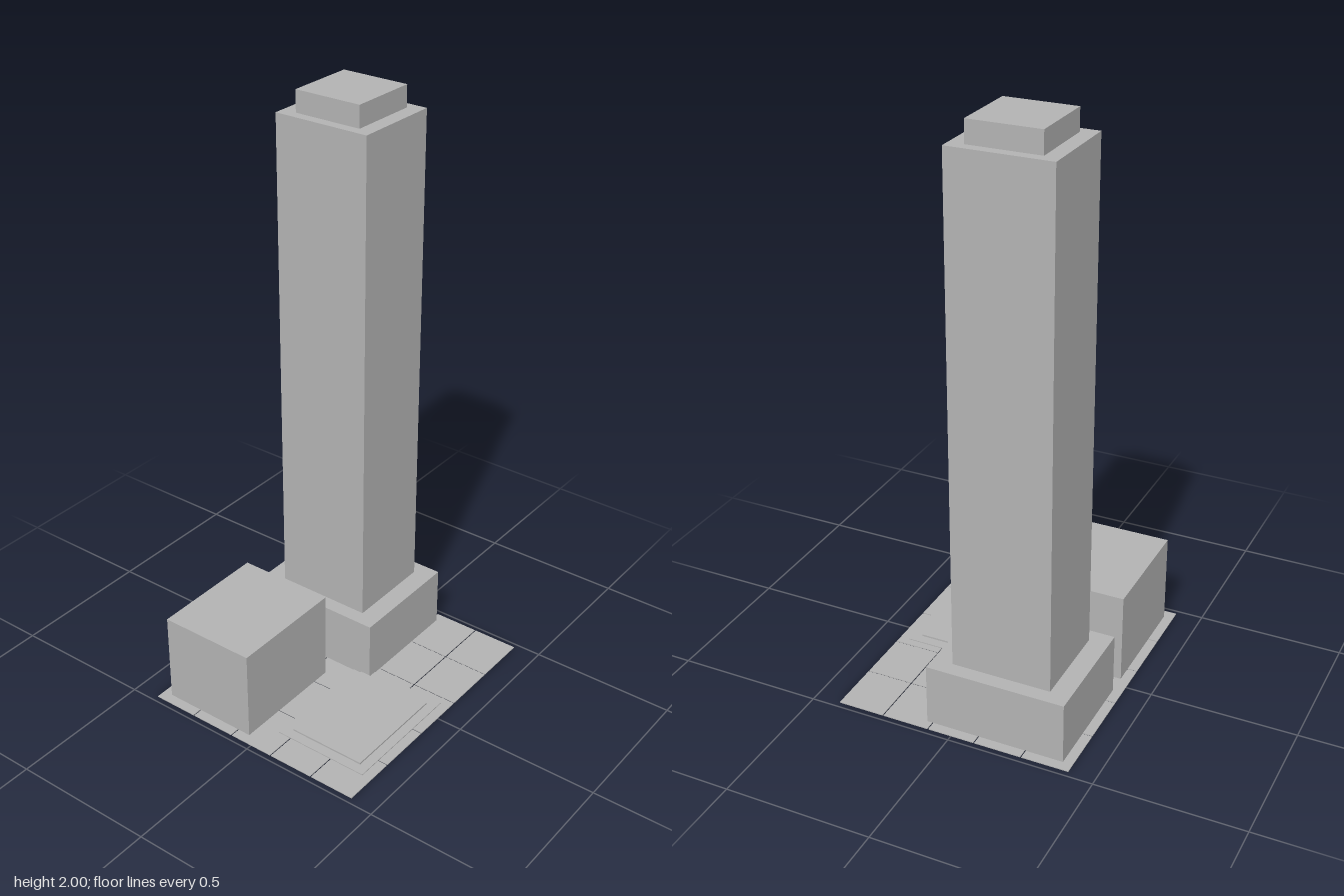
import * as THREE from 'three';

export function createModel() {
  const model = new THREE.Group();
  const grey = new THREE.MeshStandardMaterial({ color: 0xb2b2b2 });
  grey.name = 'concrete grey';

  // Box given by its extents along each axis
  const addBox = (name, [x0, x1], [y0, y1], [z0, z1], parent = model) => {
    const mesh = new THREE.Mesh(new THREE.BoxGeometry(x1 - x0, y1 - y0, z1 - z0), grey);
    mesh.position.set((x0 + x1) / 2, (y0 + y1) / 2, (z0 + z1) / 2);
    mesh.name = name;
    parent.add(mesh);
  };

  // Paving: five by five tiles with narrow open joints
  const paving = new THREE.Group();
  paving.name = 'paving';
  model.add(paving);
  const count = 5, width = 0.96, depth = 0.82, joint = 0.004, paveTop = 0.003;
  const tileW = (width - joint * (count - 1)) / count;
  const tileD = (depth - joint * (count - 1)) / count;
  for (let i = 0; i < count; i++) {
    for (let j = 0; j < count; j++) {
      const x = -width / 2 + i * (tileW + joint);
      const z = -depth / 2 + j * (tileD + joint);
      addBox('pavingTile', [x, x + tileW], [0, paveTop], [z, z + tileD], paving);
    }
  }

  // Stepped plaza in front
  addBox('plazaLowerStep', [-0.377, 0.068], [paveTop, 0.006], [0.035, 0.376]);
  addBox('plazaUpperStep', [-0.343, 0.034], [0.006, 0.012], [0.068, 0.342]);

  // Low building at the back
  addBox('lowBuilding', [-0.446, -0.034], [paveTop, 0.32], [-0.377, -0.035]);

  // Tower: podium, shaft and rooftop block
  const tower = new THREE.Group();
  tower.name = 'tower';
  model.add(tower);
  addBox('podium', [0.035, 0.446], [paveTop, 0.215], [-0.377, 0.102], tower);
  addBox('shaft', [0.086, 0.395], [0.215, 1.927], [-0.308, 0.033], tower);
  addBox('rooftopBlock', [0.12, 0.361], [1.927, 2], [-0.257, -0.018], tower);

  return model;
}
